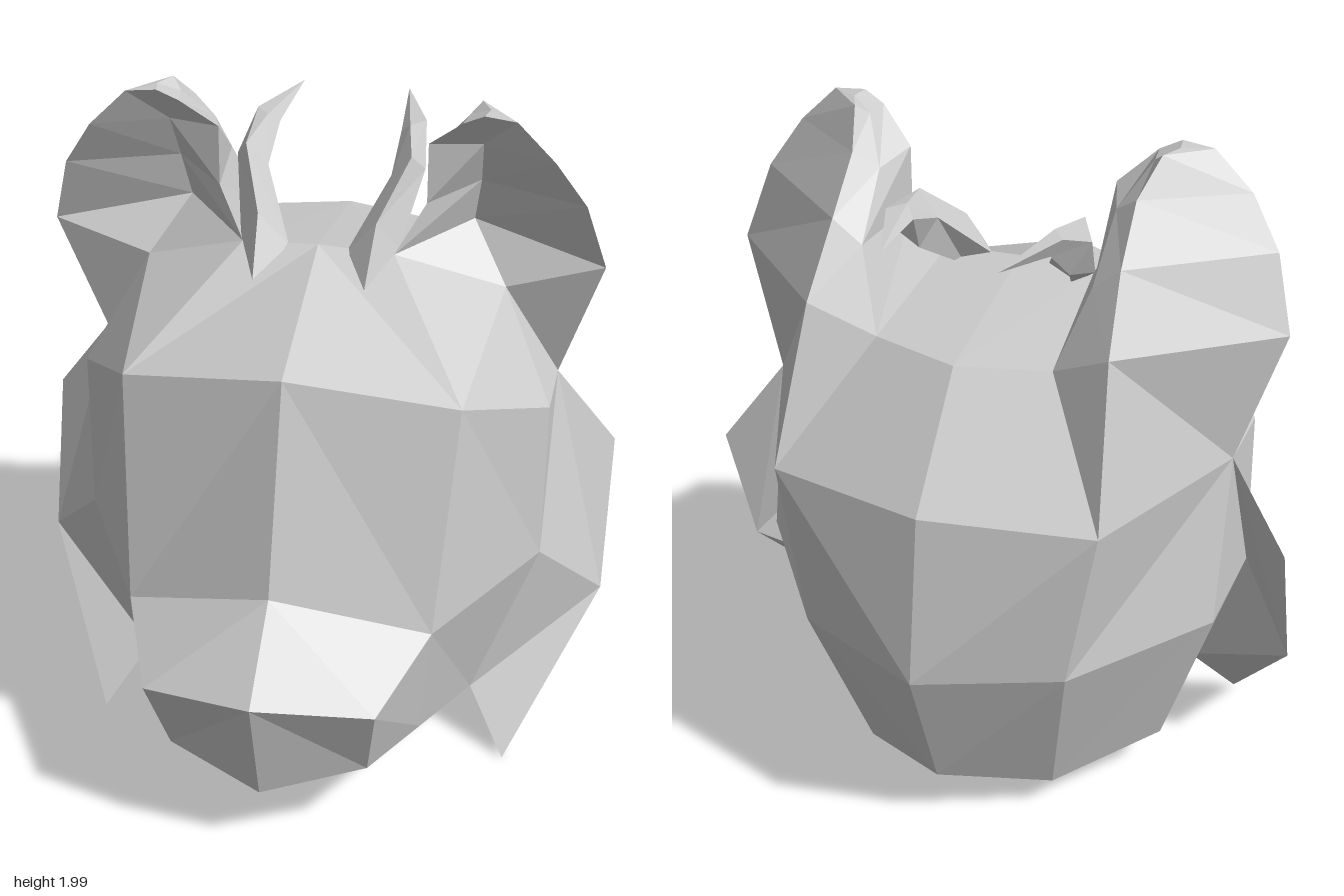
import * as THREE from 'three';

const material = new THREE.MeshStandardMaterial({ color: 0xcccccc, flatShading: true });
const sheetMaterial = material.clone();
sheetMaterial.side = THREE.DoubleSide;

// Joins neighbouring cross-sections with quads; side = -1 mirrors in x.
function loft(sections, side, closed) {
  const out = [];
  const tri = (...points) => {
    const [a, b, c] = points.map((p) => new THREE.Vector3(...p));
    if (b.clone().sub(a).cross(c.clone().sub(a)).length() < 1e-6) return;
    for (const v of side > 0 ? [a, b, c] : [a, c, b]) out.push(v.x * side, v.y, v.z);
  };
  for (let s = 0; s + 1 < sections.length; s++) {
    const A = sections[s], B = sections[s + 1], n = A.length;
    for (let i = 0; i < (closed ? n : n - 1); i++) {
      const j = (i + 1) % n;
      tri(A[i], A[j], B[j]);
      tri(A[i], B[j], B[i]);
    }
  }
  const geometry = new THREE.BufferGeometry();
  geometry.setAttribute('position', new THREE.Float32BufferAttribute(out, 3));
  geometry.computeVertexNormals();
  return geometry;
}

export function createModel() {
  const group = new THREE.Group();
  const addPair = (name, sections, closed, mat = material) => {
    for (const side of [1, -1]) {
      const mesh = new THREE.Mesh(loft(sections, side, closed), mat);
      mesh.name = (side > 0 ? 'left' : 'right') + name;
      group.add(mesh);
    }
  };

  // Shared corners of the skull
  const crown = [0, 1.57, -0.04], crownSide = [0.22, 1.56, -0.04];
  const temple = [0.53, 1.44, -0.14], crownBack = [0.255, 1.48, -0.46];
  const nape = [0, 1.48, -0.53];
  const brow = [0.48, 1.3, 0.34], muzzleRoot = [0.44, 0.655, 0.5];
  const cheekTop = [0.69, 1.15, -0.2], cheek = [0.69, 0.655, 0.03], jaw = [0.51, 0.185, 0.11];
  const rear = [0.47, 1.14, -0.69], sideBack = [0.69, 0.66, -0.31], rearMid = [0.39, 0.66, -0.71];
  const throat = [0, 0.1, 0.48], under = [0, 0.02, 0.11], underBack = [0, 0.04, -0.33];

  // Half skull: columns from the nose round to the back, each from top to bottom
  addPair('Head', [
    [crown, [0, 1.39, 0.44], [0, 0.8, 0.63], [0, 0.6, 0.875], [0, 0.23, 0.775], throat],
    [crownSide, brow, muzzleRoot, [0.33, 0.55, 0.775], [0.29, 0.275, 0.66], throat],
    [temple, brow, muzzleRoot, muzzleRoot, [0.4, 0.24, 0.4], throat],
    [temple, [0.69, 1.15, 0.02], cheek, cheek, jaw, under],
    [temple, cheekTop, sideBack, sideBack, [0.53, 0.16, -0.25], underBack],
    [crownBack, rear, rearMid, rearMid, [0.29, 0.12, -0.53], underBack],
    [nape, [0, 1.16, -0.8], [0, 0.66, -0.875], [0, 0.66, -0.875], [0, 0.2, -0.71], underBack],
  ], false);

  // Top of the skull
  addPair('Crown', [
    [nape, crown],
    [crownBack, crownSide],
    [temple, temple],
  ], false);

  // Cupped ears: loops from the tip down (inner front, inner back, spine, outer rim, hollow)
  const tip = [0.47, 2, -0.09];
  addPair('Ear', [
    [tip, tip, tip, tip, tip],
    [[0.4, 1.97, -0.05], [0.41, 1.97, -0.12], [0.44, 2, -0.15], [0.55, 1.99, -0.04], [0.46, 2, -0.04]],
    [[0.3, 1.88, -0.1], [0.34, 1.86, -0.22], [0.405, 1.91, -0.25], [0.66, 1.88, -0.04], [0.45, 1.88, -0.13]],
    [[0.3, 1.7, -0.1], [0.33, 1.7, -0.37], [0.41, 1.77, -0.38], [0.75, 1.74, -0.08], [0.44, 1.74, -0.2]],
    [crownSide, crownBack, [0.43, 1.58, -0.52], [0.81, 1.53, -0.14], [0.42, 1.6, -0.24]],
    [crownSide, crownBack, rear, cheekTop, temple],
  ], true);

  // Curved horns: loops from the front point to the rear point (inner, top, outer, under)
  const hornFront = [0.16, 1.51, 0.1], hornBack = [0.16, 1.83, -0.61];
  addPair('Horn', [
    [hornFront, hornFront, hornFront, hornFront],
    [[0.085, 1.56, -0.04], [0.17, 1.66, -0.02], [0.23, 1.57, -0.06], [0.16, 1.52, -0.06]],
    [[0.18, 1.73, -0.2], [0.24, 1.8, -0.18], [0.275, 1.75, -0.22], [0.22, 1.65, -0.24]],
    [[0.18, 1.8, -0.36], [0.21, 1.83, -0.33], [0.25, 1.83, -0.38], [0.22, 1.78, -0.39]],
    [hornBack, hornBack, hornBack, hornBack],
  ], true);

  // Cheek ruff: thin sheet flaring from the side of the head, ending in a point
  const ruffLow = [0.87, 0.45, -0.12];
  addPair('CheekRuff', [
    [cheekTop, cheek, jaw, jaw],
    [[0.87, 0.9, -0.26], ruffLow, ruffLow, [0.63, 0.01, 0.22]],
  ], false, sheetMaterial);

  return group;
}
